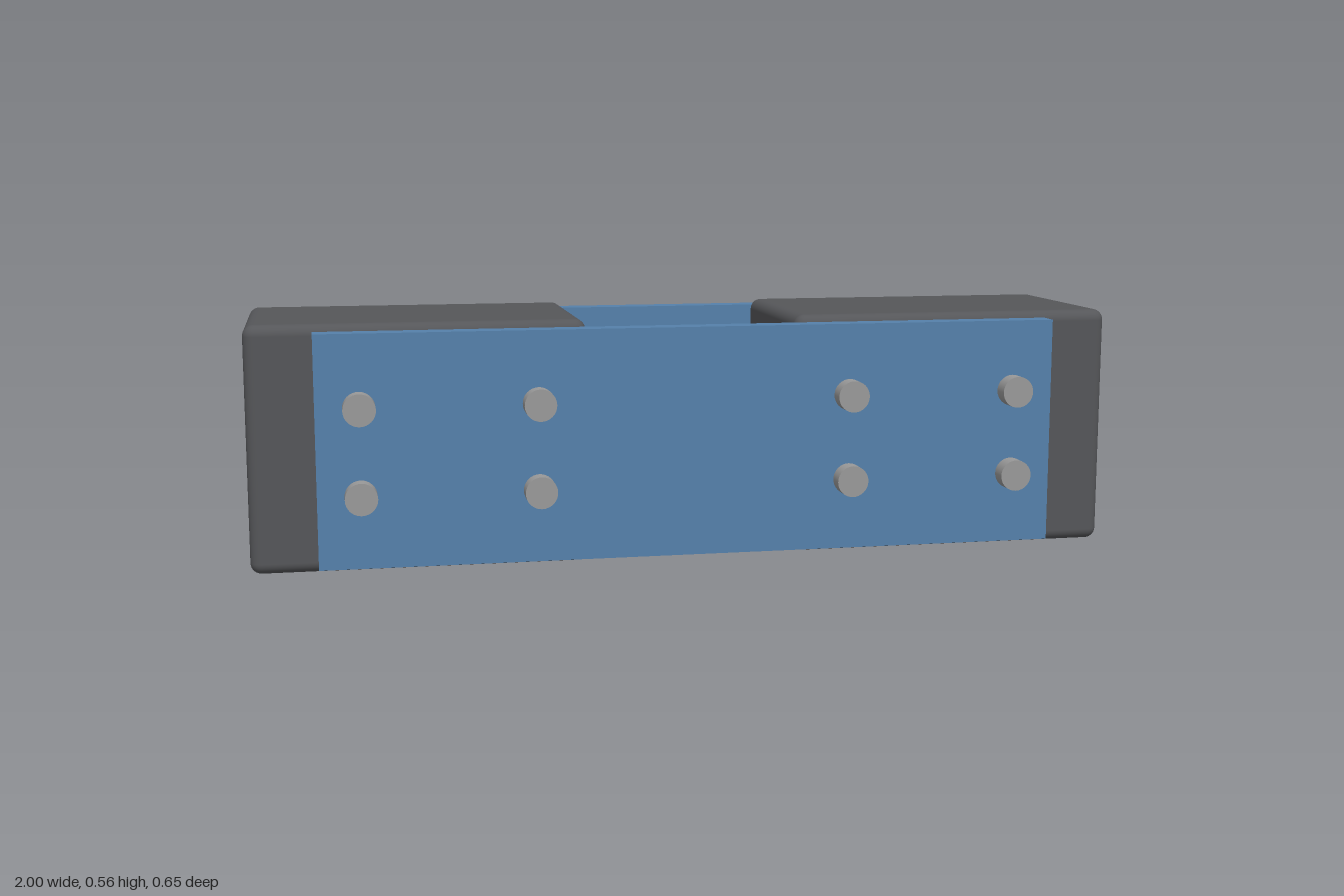
import * as THREE from 'three';
import { RoundedBoxGeometry } from 'three/addons/geometries/RoundedBoxGeometry.js';

const HEIGHT = 0.556;
const BLOCK_HALF_DEPTH = 0.234;
const PLATE_THICKNESS = 0.052;
const OFFSET = -0.003; // plates and bolts sit slightly off centre

export function createModel() {
  const model = new THREE.Group();
  const rubber = new THREE.MeshStandardMaterial({ color: 0x555659 });
  const blue = new THREE.MeshStandardMaterial({ color: 0x5580aa });
  const steel = new THREE.MeshStandardMaterial({ color: 0x999999 });

  const add = (name, geometry, material, x, y, z) => {
    const mesh = new THREE.Mesh(geometry, material);
    mesh.name = name;
    mesh.position.set(x, y, z);
    model.add(mesh);
  };

  // Two rounded blocks with a gap between them
  const addBlock = (name, x0, x1) => add(name,
    new RoundedBoxGeometry(x1 - x0, HEIGHT, BLOCK_HALF_DEPTH * 2, 5, 0.025),
    rubber, (x0 + x1) / 2, HEIGHT / 2, 0);
  addBlock('rightBlock', -1, -0.245);
  addBlock('leftBlock', 0.24, 1);

  // Side plates, each with a 4 by 2 pattern of bolts
  const plate = new THREE.BoxGeometry(1.695, 0.522, PLATE_THICKNESS);
  const boltStart = BLOCK_HALF_DEPTH + 0.01;
  const boltEnd = 0.326;
  const bolt = new THREE.CylinderGeometry(0.036, 0.036, boltEnd - boltStart, 32);
  bolt.rotateX(Math.PI / 2);

  for (const [side, sign] of [['front', 1], ['back', -1]]) {
    add(`${side}Plate`, plate, blue, OFFSET, 0.279, sign * (BLOCK_HALF_DEPTH + PLATE_THICKNESS / 2));
    for (const x of [-0.752, -0.358, 0.358, 0.752]) {
      for (const y of [0.181, 0.377]) {
        add(`${side}Bolt`, bolt, steel, x + OFFSET, y, sign * (boltStart + boltEnd) / 2);
      }
    }
  }
  return model;
}
